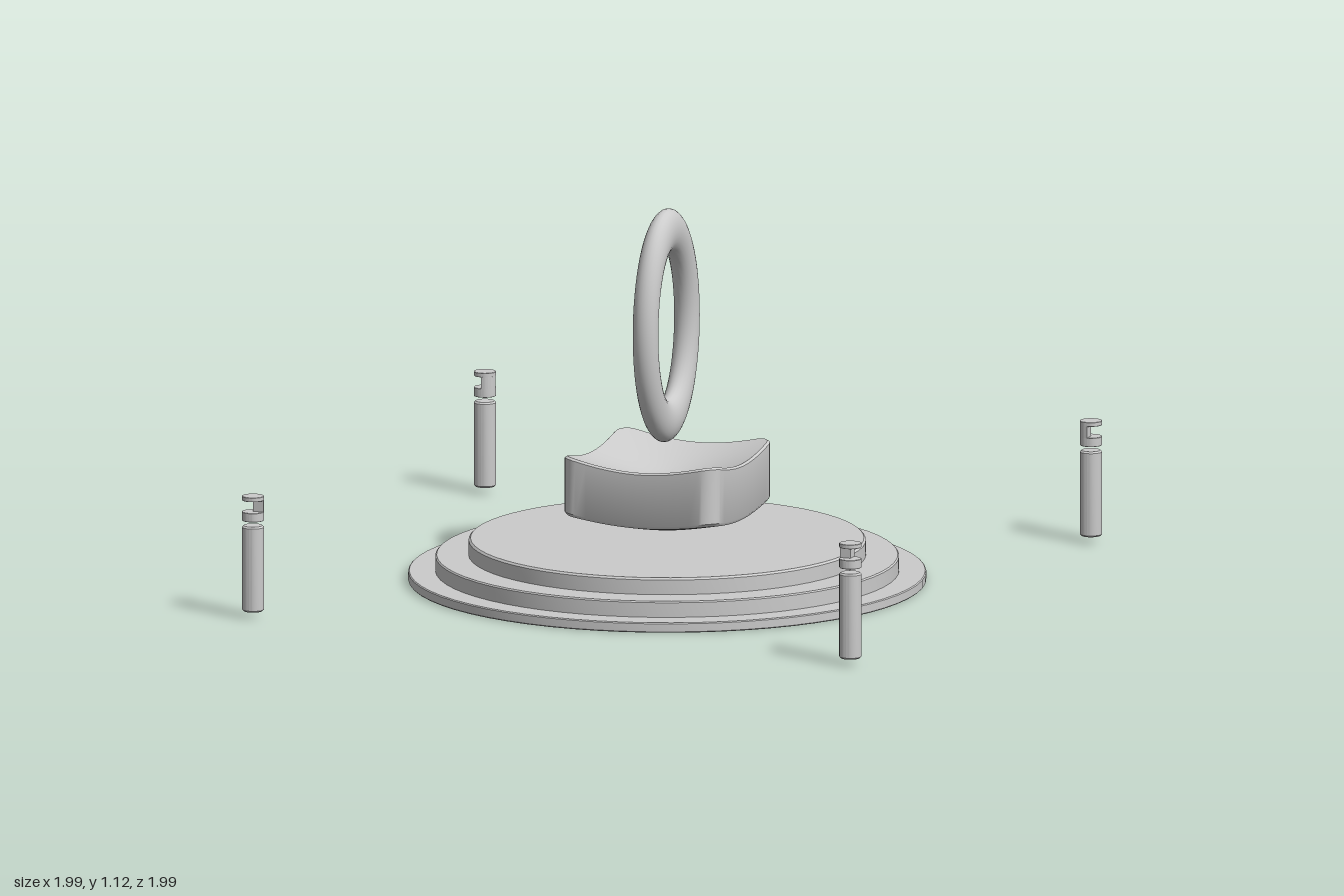
import * as THREE from 'three';
import { toCreasedNormals } from 'three/addons/utils/BufferGeometryUtils.js';

const material = new THREE.MeshStandardMaterial({ color: 0xcccccc });

function add(parent, name, geometry, x = 0, y = 0, z = 0) {
  const mesh = new THREE.Mesh(geometry, material);
  mesh.name = name;
  mesh.position.set(x, y, z);
  parent.add(mesh);
  return mesh;
}

// Solid disc or rod with slightly bevelled rims, from y0 to y1
function rod(radius, y0, y1, bevel, sides) {
  const points = [
    [0, y0], [radius - bevel, y0], [radius, y0 + bevel],
    [radius, y1 - bevel], [radius - bevel, y1], [0, y1],
  ].map(([r, y]) => new THREE.Vector2(r, y));
  return toCreasedNormals(new THREE.LatheGeometry(points, sides), 0.5);
}

// Rounded square block with a dished top and a bulging underside
function dishedBlock(half, corner) {
  const outline = [];
  const steps = 8, straight = 12, core = half - corner;
  for (let k = 0; k < 4; k++) {
    const turn = k * Math.PI / 2;
    const put = (u, v) => outline.push([
      u * Math.cos(turn) - v * Math.sin(turn),
      u * Math.sin(turn) + v * Math.cos(turn),
    ]);
    for (let i = 0; i < straight; i++) put(half, -core + 2 * core * i / straight);
    for (let i = 0; i < steps; i++) {
      const a = i / steps * Math.PI / 2;
      put(core + corner * Math.cos(a), core + corner * Math.sin(a));
    }
  }
  const cone = (x, z) => Math.sqrt(x * x + z * z + 0.01) - 0.1;
  const bottom = (x, z) => 0.16 + 0.26 * cone(x, z);
  const top = (x, z) => 0.308 + 0.39 * cone(x, z);

  // Rings run from the middle of the underside, up the wall, to the middle of the top
  const rings = [];
  const rows = 10;
  for (let i = 0; i <= rows; i++) rings.push([0.975 * i / rows, bottom, 0]);
  rings.push([1, bottom, 0.008], [1, top, -0.008]);
  for (let i = rows; i >= 0; i--) rings.push([0.975 * i / rows, top, 0]);

  const positions = [], index = [], n = outline.length;
  rings.forEach(([s, height, lift], i) => outline.forEach(([x, z], j) => {
    positions.push(x * s, height(x * s, z * s) + lift, z * s);
    if (i === rings.length - 1) return;
    const a = i * n + j, b = i * n + (j + 1) % n;
    index.push(a, a + n, b, b, a + n, b + n);
  }));
  const geometry = new THREE.BufferGeometry();
  geometry.setAttribute('position', new THREE.Float32BufferAttribute(positions, 3));
  geometry.setIndex(index);
  geometry.computeVertexNormals();
  return toCreasedNormals(geometry, 0.6);
}

// Quarter-round web that joins the two plates of a post head
function quarterWeb(radius, height) {
  const shape = new THREE.Shape();
  shape.moveTo(0, 0);
  shape.lineTo(radius, 0);
  shape.absarc(0, 0, radius, 0, Math.PI / 2, false);
  shape.closePath();
  const geometry = new THREE.ExtrudeGeometry(shape, { depth: height, bevelEnabled: false, curveSegments: 8 });
  return toCreasedNormals(geometry.rotateX(-Math.PI / 2), 0.5);
}

export function createModel() {
  const model = new THREE.Group();
  model.name = 'ringMonument';

  // Stepped round base
  const base = new THREE.Group();
  base.name = 'steppedBase';
  base.position.z = 0.012;
  model.add(base);
  add(base, 'lowerStep', rod(0.765, 0, 0.03, 0.003, 64));
  add(base, 'middleStep', rod(0.685, 0.025, 0.078, 0.004, 64));
  add(base, 'upperStep', rod(0.587, 0.07, 0.128, 0.006, 64));

  // Floating dished block and upright oval ring
  add(model, 'dishedBlock', dishedBlock(0.245, 0.05), 0, 0, 0.012);
  const ring = add(model, 'ovalRing', new THREE.TorusGeometry(0.167, 0.038, 24, 64), 0, 0.77, 0.02);
  ring.rotation.y = Math.PI / 2;
  ring.scale.y = 1.71;

  // Four corner posts, each head notched on its outer side
  const corners = [[0.95, 0.95], [0.963, -0.957], [-0.963, -0.965], [-0.94, 0.963]];
  for (const [x, z] of corners) {
    const post = new THREE.Group();
    post.name = 'cornerPost';
    post.position.set(x, 0, z);
    model.add(post);
    add(post, 'postShaft', rod(0.033, 0.02, 0.278, 0.005, 24));
    add(post, 'headLowerPlate', rod(0.033, 0.293, 0.32, 0.001, 24));
    add(post, 'headCap', rod(0.033, 0.354, 0.367, 0.001, 24));
    const web = add(post, 'headWeb', quarterWeb(0.033, 0.036), 0, 0.319, 0);
    // The web's own quadrant is +x, -z; turn it towards the middle
    web.rotation.y = Math.atan2(z, -x) - Math.PI / 4;
  }
  return model;
}
